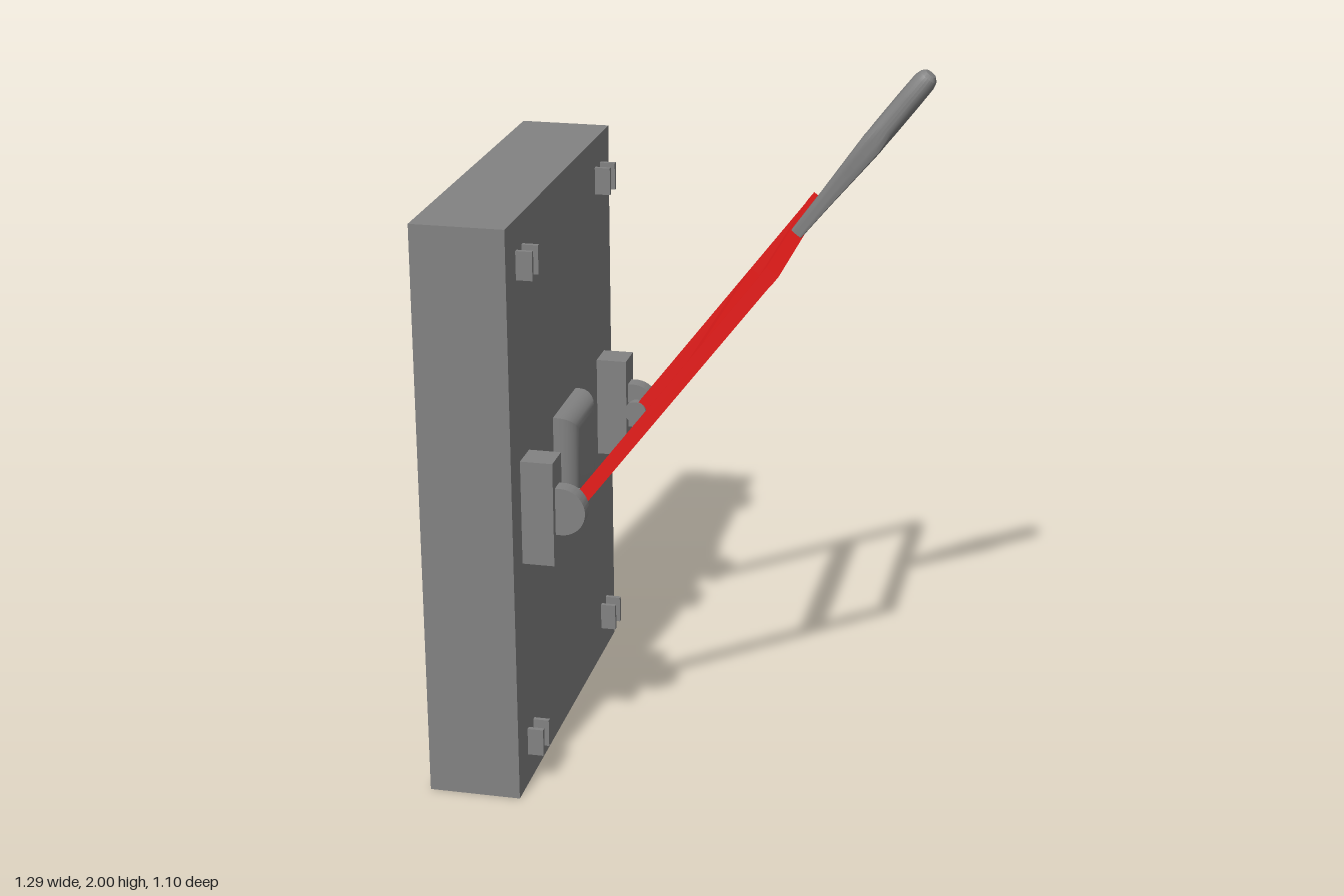
import * as THREE from 'three';
import { toCreasedNormals } from 'three/addons/utils/BufferGeometryUtils.js';

const grey = new THREE.MeshStandardMaterial({ color: 0x828282 });
const red = new THREE.MeshStandardMaterial({ color: 0xe81c1a });

function add(parent, name, geometry, x, y, z, material = grey) {
  const mesh = new THREE.Mesh(geometry, material);
  mesh.name = name;
  mesh.position.set(x, y, z);
  parent.add(mesh);
  return mesh;
}

const box = (w, h, d) => new THREE.BoxGeometry(w, h, d);
const pin = (r, length) => new THREE.CylinderGeometry(r, r, length, 24).rotateX(Math.PI / 2);

// Pad with a flat face and softly curved sides, facing +x with its face at x = 0
function cushionGeometry() {
  const face = new THREE.Shape();
  face.moveTo(-0.08, -0.105);
  face.lineTo(0.08, -0.105);
  face.lineTo(0.08, 0.105);
  face.lineTo(-0.08, 0.105);
  face.closePath();
  const geometry = new THREE.ExtrudeGeometry(face, {
    depth: 0.04, bevelThickness: 0.05, bevelSize: 0.045, bevelSegments: 6,
  });
  return toCreasedNormals(geometry.translate(0, 0, -0.09).rotateY(Math.PI / 2), 0.6);
}

// Grip: squarish tapering lower part, round upper part with a rounded end
function gripGeometry() {
  const profile = [
    [0, 0], [0.018, 0], [0.023, 0.14], [0.029, 0.26], [0.033, 0.34],
    [0.034, 0.4], [0.034, 0.5], [0.033, 0.563], [0.028, 0.58], [0.018, 0.59], [0, 0.593],
  ].map(([r, y]) => new THREE.Vector2(r, y));
  const geometry = new THREE.LatheGeometry(profile, 24);
  const p = geometry.attributes.position;
  for (let i = 0; i < p.count; i++) {
    const x = p.getX(i), y = p.getY(i), z = p.getZ(i);
    const r = Math.hypot(x, z);
    if (r < 1e-6) continue;
    const square = Math.min(1.28, r / Math.max(Math.abs(x), Math.abs(z)));
    const k = THREE.MathUtils.lerp(square, 1, THREE.MathUtils.smoothstep(y, 0.33, 0.41));
    p.setXYZ(i, x * k * 0.94, y, z * k);
  }
  return toCreasedNormals(geometry, 0.5);
}

// D-shaped lug: straight at the bracket, round towards the lever
function lugGeometry() {
  const shape = new THREE.Shape();
  shape.moveTo(-0.025, -0.068);
  shape.lineTo(0, -0.068);
  shape.absarc(0, 0, 0.068, -Math.PI / 2, Math.PI / 2, false);
  shape.lineTo(-0.025, 0.068);
  const geometry = new THREE.ExtrudeGeometry(shape, { depth: 0.045, bevelEnabled: false, curveSegments: 20 });
  return toCreasedNormals(geometry.translate(0, 0, -0.0225), 0.6);
}

export function createModel() {
  const model = new THREE.Group();
  model.name = 'wallLever';

  // Back panel and the padded stop in its middle
  add(model, 'panel', box(0.26, 1.655, 1.1), -0.52, 0.8275, 0);
  add(model, 'cushion', cushionGeometry(), -0.325, 0.83, 0);

  // Pairs of thin clips near the four corners
  for (const y of [0.13, 1.53])
    for (const side of [-1, 1])
      for (const z of [0.39, 0.45])
        add(model, 'clip', box(0.055, 0.08, 0.013), -0.3725, y, side * z);

  // Hinges on both sides
  const lug = lugGeometry();
  for (const side of [-1, 1]) {
    const hinge = new THREE.Group();
    hinge.name = side > 0 ? 'frontHinge' : 'backHinge';
    model.add(hinge);
    add(hinge, 'bracket', box(0.1, 0.3, 0.09), -0.35, 0.83, side * 0.418);
    add(hinge, 'lug', lug, -0.285, 0.833, side * 0.42);
    add(hinge, 'pivotPin', pin(0.018, 0.06), -0.262, 0.833, side * 0.38);
    add(hinge, 'pivotCap', pin(0.033, 0.026), -0.265, 0.833, side * 0.354);
  }

  // Lever, built upright along y from the pivot and then tilted
  const lever = new THREE.Group();
  lever.name = 'lever';
  lever.position.set(-0.261, 0.827, 0);
  lever.rotation.z = -THREE.MathUtils.degToRad(37.5);
  model.add(lever);

  const top = 0.867; // distance from pivot to the upper crossbar
  for (const side of [-1, 1])
    add(lever, 'arm', box(0.038, top, 0.017), 0, top / 2 + 0.0175, side * 0.3565, red);
  add(lever, 'upperCrossbar', box(0.04, 0.035, 0.73), 0, top, 0, red);
  add(lever, 'lowerCrossbar', box(0.037, 0.062, 0.71), 0, 0.559, 0, red);
  add(lever, 'grip', gripGeometry(), 0, top + 0.006, 0);

  return model;
}
